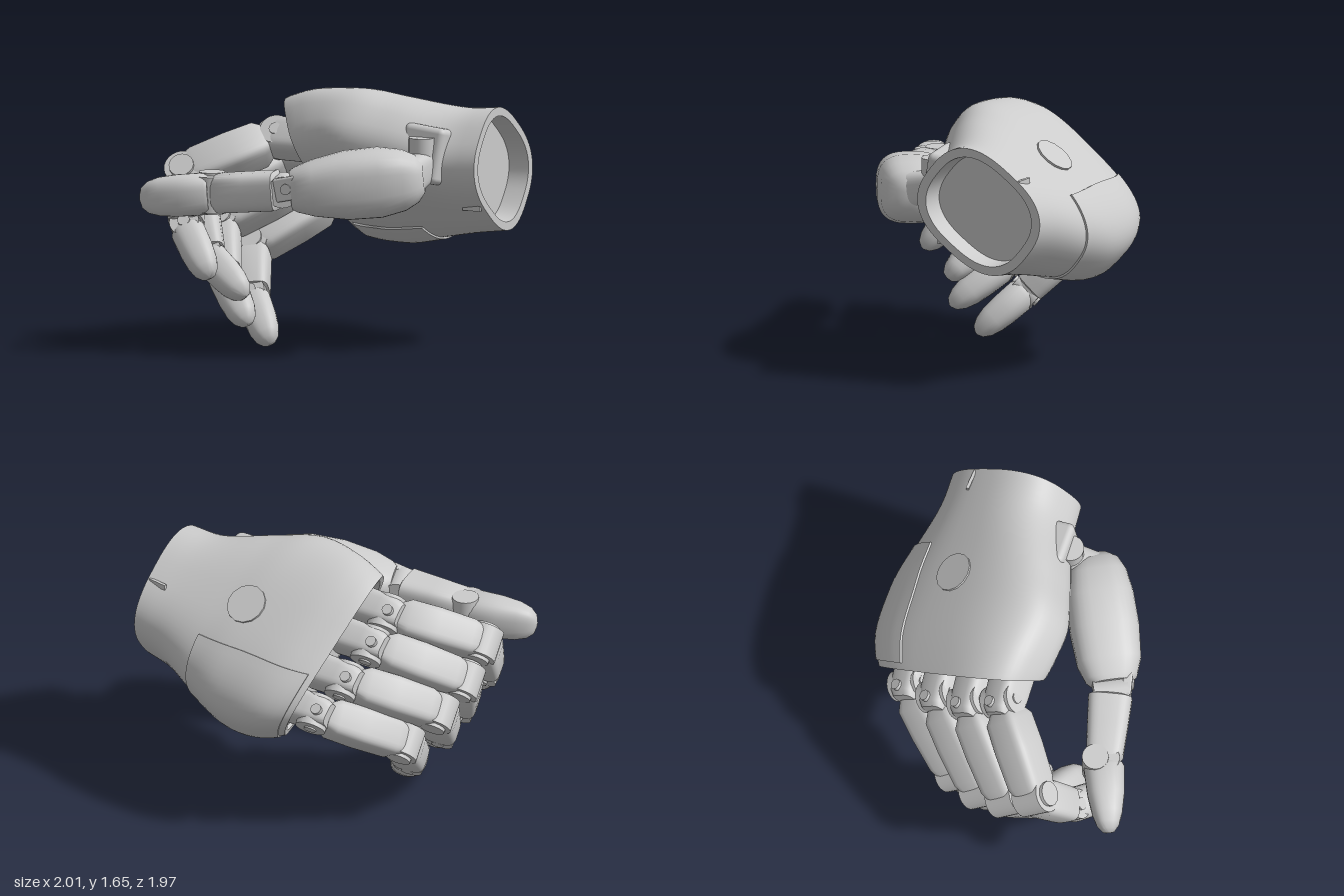
import * as THREE from 'three';
import { toCreasedNormals } from 'three/addons/utils/BufferGeometryUtils.js';
import { RoundedBoxGeometry } from 'three/addons/geometries/RoundedBoxGeometry.js';

const V = (x, y, z) => new THREE.Vector3(x, y, z);
const material = new THREE.MeshStandardMaterial({ color: 0xcccccc });
const LAT = V(0.25, 0.63, 0.73).normalize();   // knuckle row direction, towards the index
const BACK = V(-0.15, 0.79, -0.61).normalize(); // direction of the back of the hand

function add(parent, geometry, name) {
  const mesh = new THREE.Mesh(geometry, material);
  mesh.name = name;
  parent.add(mesh);
  return mesh;
}

// Closed skin over rings of equal length, turned outwards by its signed volume
function loft(rings, crease = 0.6) {
  const n = rings[0].length, pos = [], idx = [];
  rings.forEach(r => r.forEach(p => pos.push(p.x, p.y, p.z)));
  for (let i = 0; i < rings.length - 1; i++)
    for (let j = 0; j < n; j++) {
      const a = i * n + j, b = i * n + (j + 1) % n;
      idx.push(a, b, a + n, b, b + n, a + n);
    }
  [0, rings.length - 1].forEach((r, end) => {
    const c = rings[r].reduce((s, p) => s.add(p), V(0, 0, 0)).divideScalar(n);
    const ci = pos.push(c.x, c.y, c.z) / 3 - 1;
    for (let j = 0; j < n; j++) {
      const a = r * n + j, b = r * n + (j + 1) % n;
      if (end) idx.push(a, b, ci); else idx.push(b, a, ci);
    }
  });
  const at = i => V(pos[3 * i], pos[3 * i + 1], pos[3 * i + 2]);
  let volume = 0;
  for (let i = 0; i < idx.length; i += 3)
    volume += at(idx[i]).dot(at(idx[i + 1]).cross(at(idx[i + 2])));
  if (volume < 0) idx.reverse();
  const g = new THREE.BufferGeometry();
  g.setAttribute('position', new THREE.Float32BufferAttribute(pos, 3));
  g.setIndex(idx);
  return toCreasedNormals(g, crease);
}

// Rounded-square outline point
function squircle(t, a, b, e) {
  const f = v => Math.sign(v) * Math.pow(Math.abs(v), 2 / e);
  return [a * f(Math.cos(t)), b * f(Math.sin(t))];
}

// Limb from a to b; stations are [t, half size along lat, half size across]
function limb(a, b, lat, stations, e = 3.2, n = 32) {
  const dir = b.clone().sub(a).normalize();
  const side = lat.clone().addScaledVector(dir, -lat.dot(dir)).normalize();
  const up = dir.clone().cross(side);
  return loft(stations.map(([t, w, d]) => Array.from({ length: n }, (_, j) => {
    const [p, q] = squircle(j / n * Math.PI * 2, w, d, e);
    return a.clone().lerp(b, t).addScaledVector(side, p).addScaledVector(up, q);
  })), 0.7);
}

// Pin centred on p along an axis
function pin(parent, p, axis, r, h, name, sides = 24) {
  const m = add(parent, new THREE.CylinderGeometry(r, r, h, sides), name);
  m.position.copy(p);
  m.quaternion.setFromUnitVectors(V(0, 1, 0), axis.clone().normalize());
}

// Palm stations: centre across, centre in thickness, half width, half thickness,
// end slant with thickness, end slant with z
const palmX = [-0.28, -0.1, 0.15, 0.4, 0.75, 0.95];
const palmRows = new THREE.CubicInterpolant(palmX, new Float32Array([
  -0.405, 1.055, 0.595, 0.265, -0.58, 0,
  -0.385, 1.095, 0.66, 0.305, -0.35, 0,
  -0.38, 1.115, 0.675, 0.335, 0, 0,
  -0.36, 1.135, 0.59, 0.33, 0, 0,
  -0.325, 1.165, 0.445, 0.335, 0, 0.08,
  -0.32, 1.195, 0.42, 0.34, 0, 0.12]), 6);

function palmPoint(x, t, offset = 0, scale = 1, dx = 0) {
  const [cu, cn, a, b, kn, kz] = palmRows.evaluate(x);
  const e = 3.1 - 0.45 * THREE.MathUtils.smoothstep(x, -0.28, 0.1);
  const [p, q] = squircle(t, (a + offset) * scale, (b + offset) * scale, e);
  const u = cu + p, n = cn + q;
  return V(x + dx + kn * q + kz * (-0.79 * p - 0.61 * q), -0.61 * u + 0.79 * n, -0.79 * u - 0.61 * n);
}

function buildPalm(root) {
  const palm = new THREE.Group();
  palm.name = 'palm';
  root.add(palm);
  const ring = (x, off, s, dx) => Array.from({ length: 64 }, (_, j) => palmPoint(x, j / 64 * Math.PI * 2, off, s, dx));
  // Shell, recessed at the knuckles and turning into the hollow wrist
  const rings = [ring(-0.28, -0.03, 0.93, 0.1), ring(-0.28, -0.03, 0.98, 0), ring(-0.28, -0.005, 1, -0.005)];
  for (let i = 0; i <= 24; i++) rings.push(ring(-0.26 + 1.21 * i / 24, 0, 1, 0));
  rings.push(ring(0.95, 0, 0.86, 0), ring(0.95, 0, 0.83, -0.14));
  add(palm, loft(rings), 'palmShell');

  // Raised cover on the outer edge of the hand, narrowing towards the wrist
  const cover = [];
  for (let i = 0; i <= 14; i++) {
    const x = -0.25 + 0.66 * i / 14, row = [];
    const angle = j => THREE.MathUtils.degToRad(-76 + (152 - 9 * i / 14) * j / 28);
    for (let j = 0; j <= 28; j++) row.push(palmPoint(x, angle(j), 0.012));
    for (let j = 28; j >= 0; j--) row.push(palmPoint(x, angle(j), -0.02));
    cover.push(row);
  }
  add(palm, loft(cover), 'outerEdgeCover');

  // Round cap lying flat on the back, and keys at the wrist
  const along = palmPoint(0.28, 1.57).sub(palmPoint(0.14, 1.57));
  const across = palmPoint(0.21, 1.5).sub(palmPoint(0.21, 1.64));
  pin(palm, palmPoint(0.21, 1.57), across.cross(along).multiplyScalar(Math.sign(across.y)), 0.13, 0.02, 'backCap', 14);
  for (const t of [1.45, -1.7]) {
    const key = add(palm, new THREE.BoxGeometry(0.13, 0.035, 0.02), 'wristKey');
    key.position.copy(palmPoint(0.87, t));
  }
}

function buildFinger(root, name, knuckle, middleJoint, endJoint, tip, s) {
  const finger = new THREE.Group();
  finger.name = name;
  root.add(finger);
  const sized = rows => rows.map(([t, w, d]) => [t, w * s, d * s]);

  // Knuckle block set into the palm, with its pin and back screw
  const front = knuckle.clone().add(V(-0.11, 0.0, 0.03));
  add(finger, limb(knuckle.clone().add(V(0.24, 0, -0.02)), front, LAT,
    sized([[0, 0.11, 0.13], [0.6, 0.105, 0.125], [0.9, 0.09, 0.11], [1, 0.075, 0.08]]), 4), 'knuckleBlock');
  pin(finger, knuckle, LAT, 0.1 * s, 0.22 * s, 'knuckleBarrel');
  pin(finger, knuckle, LAT, 0.04, 0.24 * s, 'knucklePin', 12);
  pin(finger, knuckle.clone().add(V(-0.05, 0, 0)).addScaledVector(BACK, 0.1 * s), BACK, 0.035, 0.04, 'knuckleScrew', 12);

  add(finger, limb(knuckle, middleJoint, LAT, sized([[0.1, 0.085, 0.09], [0.2, 0.122, 0.128],
    [0.5, 0.127, 0.132], [0.86, 0.12, 0.127], [0.95, 0.1, 0.11], [1.02, 0.09, 0.08]]), 4.5), 'firstSegment');
  pin(finger, middleJoint, LAT, 0.115 * s, 0.2 * s, 'middleJoint');
  pin(finger, middleJoint, LAT, 0.08 * s, 0.245 * s, 'middleJointCap', 16);

  add(finger, limb(middleJoint, endJoint, LAT, sized([[0.05, 0.09, 0.09], [0.2, 0.115, 0.118],
    [0.75, 0.108, 0.113], [0.9, 0.105, 0.11], [0.92, 0.09, 0.095], [1.05, 0.085, 0.09]]), 4), 'secondSegment');
  pin(finger, endJoint, LAT, 0.095 * s, 0.18 * s, 'endJoint');
  pin(finger, endJoint, LAT, 0.04 * s, 0.215 * s, 'endJointPin', 12);

  add(finger, limb(endJoint, tip, LAT, sized([[0, 0.085, 0.09], [0.1, 0.106, 0.11], [0.45, 0.103, 0.108],
    [0.68, 0.094, 0.098], [0.84, 0.076, 0.08], [0.95, 0.048, 0.05], [1, 0.012, 0.012]]), 2.6), 'fingertip');
}

function buildThumb(root) {
  const thumb = new THREE.Group();
  thumb.name = 'thumb';
  root.add(thumb);
  const up = V(0, 1, 0), out = V(0.53, 0, 0.85);
  const base = V(0.73, 1.14, 0.155), first = V(-0.02, 1.06, 0.59);
  const second = V(-0.47, 1.02, 0.735), tip = V(-0.87, 0.985, 0.94);

  // Bracket in the side of the palm
  const socket = add(thumb, new RoundedBoxGeometry(0.29, 0.36, 0.2, 3, 0.04), 'thumbSocket');
  socket.position.set(0.64, 1.26, -0.06);
  socket.rotation.set(-0.2, 0.1, -0.08);
  pin(thumb, V(0.66, 1.24, 0.02), up, 0.085, 0.28, 'thumbPivot');
  add(thumb, limb(V(0.66, 1.2, -0.02), V(0.66, 1.14, 0.24), up, [[0, 0.1, 0.09], [1, 0.13, 0.11]]), 'thumbNeck');

  // Full thumb base, then two slimmer segments
  add(thumb, limb(base, V(0.01, 1.06, 0.59), up, [[-0.03, 0.09, 0.09], [0.02, 0.145, 0.15], [0.12, 0.19, 0.19],
    [0.3, 0.22, 0.215], [0.55, 0.215, 0.222], [0.8, 0.175, 0.205], [0.93, 0.14, 0.165], [0.97, 0.12, 0.13]], 2.9), 'thumbBase');
  pin(thumb, first, out, 0.1, 0.22, 'thumbFirstJoint');
  const plate = add(thumb, new RoundedBoxGeometry(0.15, 0.15, 0.06, 2, 0.012), 'jointPlate');
  plate.position.set(0.06, 1.085, 0.67);
  plate.rotation.set(0, 0.3, 0.2);
  pin(thumb, V(0.07, 1.085, 0.695), V(0.3, 0, 0.95), 0.035, 0.03, 'plateScrew', 12);

  add(thumb, limb(first, second, up, [[0.06, 0.1, 0.1], [0.09, 0.125, 0.14], [0.5, 0.125, 0.13],
    [0.88, 0.125, 0.118], [0.93, 0.11, 0.1], [1.02, 0.1, 0.09]], 3.8), 'thumbFirstSegment');
  pin(thumb, second, up, 0.1, 0.23, 'thumbSecondJoint');
  pin(thumb, second.clone().add(V(-0.02, 0, -0.05)), up, 0.085, 0.265, 'thumbJointCap', 16);
  add(thumb, limb(second, tip, up, [[0.02, 0.12, 0.12], [0.07, 0.132, 0.13], [0.45, 0.132, 0.118],
    [0.72, 0.122, 0.096], [0.88, 0.1, 0.072], [0.97, 0.065, 0.042], [1, 0.015, 0.012]], 2.7), 'thumbTip');
}

export function createModel() {
  const hand = new THREE.Group();
  hand.name = 'mechanicalHand';
  buildPalm(hand);
  buildFinger(hand, 'indexFinger', V(-0.42, 1.29, 0.02), V(-0.86, 1.07, 0.43), V(-0.73, 0.76, 0.61), V(-0.45, 0.49, 0.78), 1);
  buildFinger(hand, 'middleFinger', V(-0.47, 1.17, -0.19), V(-0.87, 0.88, 0.25), V(-0.69, 0.56, 0.42), V(-0.34, 0.35, 0.53), 1);
  buildFinger(hand, 'ringFinger', V(-0.45, 1.0, -0.41), V(-0.83, 0.72, 0.05), V(-0.66, 0.42, 0.28), V(-0.34, 0.17, 0.51), 1);
  buildFinger(hand, 'littleFinger', V(-0.4, 0.84, -0.63), V(-0.73, 0.55, -0.16), V(-0.57, 0.27, 0.09), V(-0.31, 0.02, 0.3), 0.98);
  buildThumb(hand);
  return hand;
}
